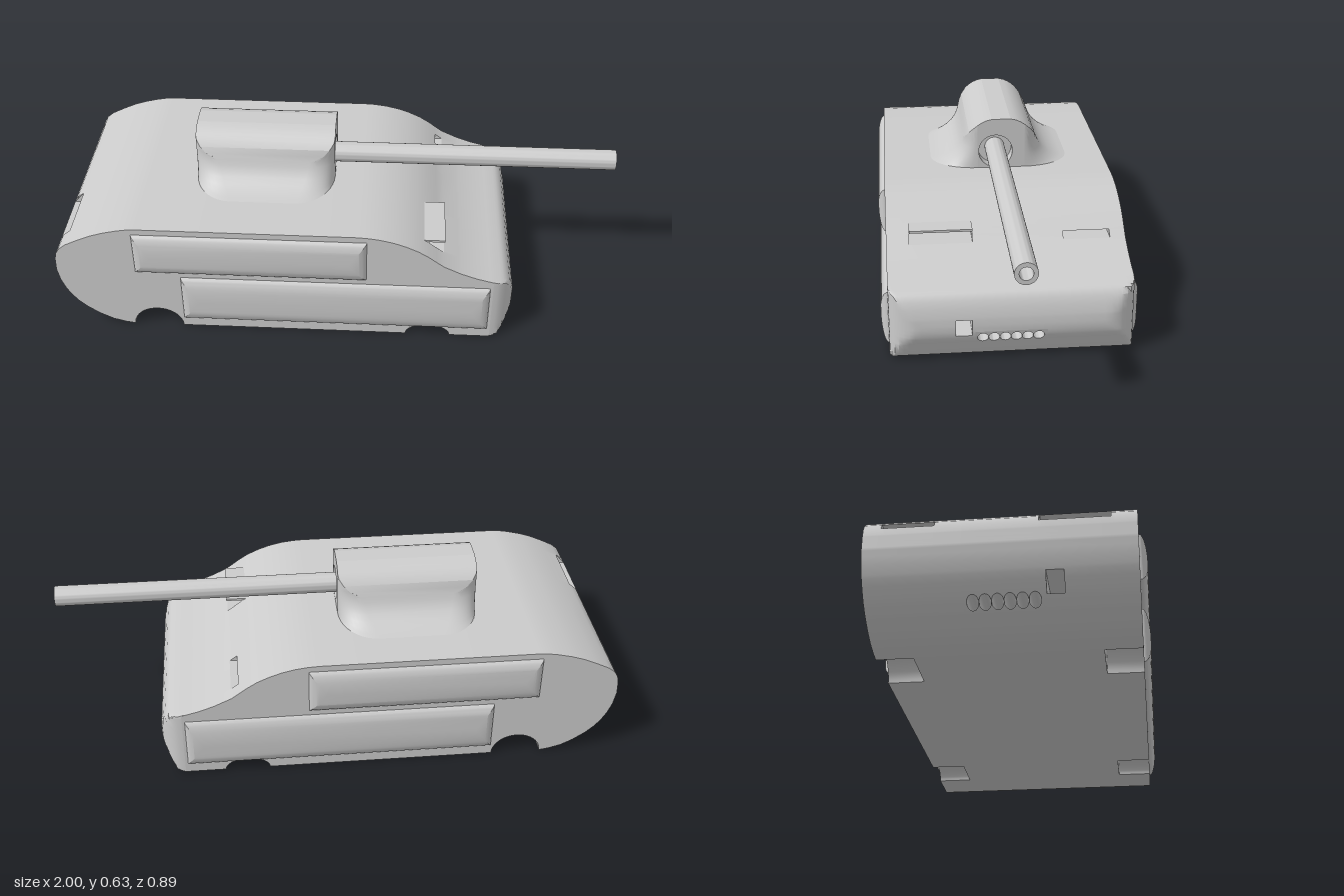
import * as THREE from 'three';
import { toCreasedNormals } from 'three/addons/utils/BufferGeometryUtils.js';

const material = new THREE.MeshStandardMaterial({ color: 0xcccccc, side: THREE.DoubleSide });
const W = 0.42, TOP = 0.445;

// Hull end outlines as [y, x]: nose with front slope, and rounded tail
const FRONT = [[0, .56], [.01, .592], [.04, .608], [.065, .619], [.09, .632], [.115, .639], [.14, .64], [.17, .637],
  [.2, .629], [.225, .62], [.245, .606], [.255, .585], [.262, .55], [.275, .5], [.295, .445], [.325, .382], [.345, .355],
  [.365, .329], [.39, .29], [.41, .247], [.425, .205], [.437, .155], [.443, .11], [TOP, .07]];
const REAR = [[0, -.745], [.005, -.775], [.018, -.82], [.04, -.862], [.07, -.905], [.1, -.937], [.13, -.959], [.16, -.976],
  [.2, -.991], [.25, -1], [.3, -.998], [.325, -.992], [.345, -.98], [.365, -.955], [.39, -.905], [.41, -.86],
  [.425, -.815], [.437, -.765], [.443, -.73], [TOP, -.7]];

function lookup(table, y) {
  const i = Math.max(1, table.findIndex(p => p[0] >= y - 1e-6));
  const [a, b] = [table[i - 1], table[i]];
  return a[1] + (b[1] - a[1]) * (y - a[0]) / (b[0] - a[0]);
}
// The nose also rounds off towards both sides
function noseLimit(z) {
  const t = Math.min(1, Math.max(0, (Math.abs(z) - .31) / (W - .31)));
  return .64 - .08 * (1 - Math.sqrt(1 - t * t));
}
const frontX = (y, z) => Math.min(lookup(FRONT, y), noseLimit(z));
const rearX = y => lookup(REAR, y);

function add(parent, name, geometry) {
  const mesh = new THREE.Mesh(geometry, material);
  mesh.name = name;
  parent.add(mesh);
  return mesh;
}
const quad = (out, a, b, c, d) => out.push(...a, ...b, ...c, ...a, ...c, ...d);
function skin(positions, crease = 0.6) {
  const g = new THREE.BufferGeometry();
  g.setAttribute('position', new THREE.Float32BufferAttribute(positions, 3));
  g.computeVertexNormals();
  return toCreasedNormals(g, crease);
}
const stations = list => [...new Set(list.map(v => +v.toFixed(4)))].sort((a, b) => a - b);
const vec = pts => pts.map(p => new THREE.Vector2(p[0], p[1]));

// Openings that run through the hull, as [z0, z1, y0, y1]
const SLOTS = [[.12, .34, .325, .365], [-.365, -.2, .325, .345], [.14, .195, .1, .16]];
const VENT_PANEL = [-.115, .13, .065, .115];
const VENTS = [0, 1, 2, 3, 4, 5].map(i => {
  const loop = [];
  for (let k = 0; k < 24; k++) {
    const a = k / 24 * Math.PI * 2;
    loop.push([.104 - .038 * i + .0185 * Math.cos(a), .089 + .0185 * Math.sin(a)]);
  }
  return loop;
});
const WELLS = [[-.65, .09, .078], [.335, .08, .045]]; // centre x, half width, height
const WELL_Z = .3;

function buildHull() {
  const hull = new THREE.Group();
  hull.name = 'hull';
  const cuts = [...SLOTS, VENT_PANEL];
  const ys = stations([...FRONT, ...REAR].map(p => p[0]).concat(cuts.flatMap(c => [c[2], c[3]])));
  const round = [-1, 1].flatMap(s => [0, 1, 2, 3, 4, 5, 6, 7, 8].map(k => s * (.31 + .11 * Math.sin(k / 8 * Math.PI / 2))));
  const zs = stations(round.concat(cuts.flatMap(c => [c[0], c[1]])));

  // Outer skin: nose, roof and tail
  const out = [];
  for (let j = 0; j + 1 < zs.length; j++) {
    const [z0, z1] = [zs[j], zs[j + 1]], zc = (z0 + z1) / 2;
    for (let i = 0; i + 1 < ys.length; i++) {
      const [y0, y1] = [ys[i], ys[i + 1]], yc = (y0 + y1) / 2;
      if (cuts.some(c => zc > c[0] && zc < c[1] && yc > c[2] && yc < c[3])) continue;
      const f = (y, z) => [frontX(y, z), y, z], r = (y, z) => [rearX(y), y, z];
      quad(out, f(y0, z0), f(y1, z0), f(y1, z1), f(y0, z1));
      quad(out, r(y0, z1), r(y1, z1), r(y1, z0), r(y0, z0));
    }
    quad(out, [-.7, TOP, z0], [-.7, TOP, z1], [.07, TOP, z1], [.07, TOP, z0]);
  }
  add(hull, 'hullSkin', skin(out));

  // Vent panels at both ends with a row of round holes
  for (const s of [1, -1]) {
    const [z0, z1, y0, y1] = VENT_PANEL;
    const mid = ys.filter(y => y > y0 && y < y1);
    const edge = [[z0, y0], [z1, y0], ...mid.map(y => [z1, y]), [z1, y1], [z0, y1], ...[...mid].reverse().map(y => [z0, y])];
    const flip = pts => vec(pts.map(p => [-s * p[0], p[1]]));
    const shape = new THREE.Shape(flip(edge));
    shape.holes = VENTS.map(v => new THREE.Path(flip(v)));
    const g = new THREE.ShapeGeometry(shape), p = g.attributes.position;
    for (let i = 0; i < p.count; i++) {
      const u = p.getX(i), y = p.getY(i);
      p.setXYZ(i, s > 0 ? frontX(y, 0) : rearX(y), y, -s * u);
    }
    g.computeVertexNormals();
    add(hull, s > 0 ? 'frontVentPanel' : 'rearVentPanel', g);
  }

  // Inner walls of the openings
  const walls = [];
  const loops = SLOTS.map(([a, b, c, d]) => [[a, c], [b, c], [b, d], [a, d]]).concat(VENTS);
  for (const loop of loops) loop.forEach(([z0, y0], i) => {
    const [z1, y1] = loop[(i + 1) % loop.length];
    quad(walls, [rearX(y0), y0, z0], [frontX(y0, z0), y0, z0], [frontX(y1, z1), y1, z1], [rearX(y1), y1, z1]);
  });
  add(hull, 'openingWalls', skin(walls));

  add(hull, 'floor', new THREE.PlaneGeometry(1.305, 2 * WELL_Z).rotateX(Math.PI / 2).translate(-.0925, 0, 0));
  add(hull, 'visorPlate', new THREE.BoxGeometry(.075, .008, .22).translate(.3475, .374, .23));
  for (const s of [1, -1]) hull.add(buildSide(s));
  return hull;
}

// Side wall, wheel wells and bulged panels, mirrored for the other side
function buildSide(s) {
  const side = new THREE.Group();
  side.name = s > 0 ? 'nearSide' : 'farSide';
  side.scale.z = s;
  const arch = ([c, a, h]) => Array.from({ length: 21 }, (_, k) => {
    const t = Math.PI * (1 - k / 20);
    return [c + a * Math.cos(t), h * Math.sin(t)];
  });
  const outline = [[-.745, 0], ...WELLS.flatMap(arch),
    ...FRONT.map(p => [frontX(p[0], W), p[0]]), ...[...REAR].reverse().slice(0, -1).map(p => [p[1], p[0]])];
  const clean = outline.filter((p, i) => !i || Math.hypot(p[0] - outline[i - 1][0], p[1] - outline[i - 1][1]) > 1e-4);
  add(side, 'sideWall', new THREE.ShapeGeometry(new THREE.Shape(vec(clean))).translate(0, 0, W));

  for (const well of WELLS) {
    const pts = arch(well), out = [];
    for (let i = 0; i < 20; i++) {
      const [a, b] = [pts[i], pts[i + 1]];
      quad(out, [...a, WELL_Z], [...a, W], [...b, W], [...b, WELL_Z]);
    }
    add(side, 'wheelWellArch', skin(out));
    add(side, 'wheelWellBack', new THREE.ShapeGeometry(new THREE.Shape(vec([...pts].reverse()))).translate(0, 0, WELL_Z));
  }
  for (const [a, b] of [[-.745, -.74], [-.56, .255], [.415, .56]])
    add(side, 'floorStrip', new THREE.PlaneGeometry(b - a, W - WELL_Z).rotateX(Math.PI / 2).translate((a + b) / 2, 0, (W + WELL_Z) / 2));

  add(side, 'upperPanel', bulge(-.715, .11, .255, .422, .026));
  add(side, 'lowerPanel', bulge(-.555, .55, .04, .232, .026));
  return side;
}

// Hipped panel with a rounded section, from nested rectangles
function bulge(x0, x1, y0, y1, height) {
  const out = [], n = 12, half = (y1 - y0) / 2;
  const ring = k => {
    const t = 1 - Math.cos(k / n * Math.PI / 2), ix = .065 * t, iy = half * t;
    const z = W + height * Math.sin(k / n * Math.PI / 2);
    return [[x0 + ix, y0 + iy, z], [x1 - ix, y0 + iy, z], [x1 - ix, y1 - iy, z], [x0 + ix, y1 - iy, z]];
  };
  for (let k = 0; k < n; k++) {
    const [a, b] = [ring(k), ring(k + 1)];
    for (let i = 0; i < 4; i++) quad(out, a[i], a[(i + 1) % 4], b[(i + 1) % 4], b[i]);
  }
  return skin(out, 0.35);
}

function buildTurret() {
  const turret = new THREE.Group();
  turret.name = 'turret';
  turret.position.set(-.2725, 0, -.018);
  // Half width over height: flared foot, waist, rounded roof
  const levels = [[.443, .27], [.449, .24], [.457, .217], [.47, .192], [.487, .17], [.505, .155], [.522, .146], [.54, .139],
    [.56, .131], [.58, .119], [.6, .102], [.612, .088], [.622, .073], [.63, .056], [.635, .035]];
  const L = .2525, FLAT = .088, N = 10;
  const ring = ([y, w]) => {
    const m = Math.min(w, FLAT), reach = Math.max(w, .139) - FLAT;
    const dx = .09 + .05 * Math.max(0, (w - .139) / .131);
    const q = [];
    for (let k = 0; k <= N; k++) {
      const z = m + (w - m) * Math.sin(k / N * Math.PI / 2);
      const t = Math.min(1, Math.max(0, (z - FLAT) / reach));
      q.push([L - dx * (1 - Math.sqrt(1 - t * t)), z]);
    }
    const back = [...q].reverse(), at = (pts, sx, sz) => pts.map(p => [sx * p[0], y, sz * p[1]]);
    return [...at(q, 1, 1), ...at(back, -1, 1), ...at(q, -1, -1), ...at(back, 1, -1)];
  };
  const out = [];
  for (let i = 0; i + 1 < levels.length; i++) {
    const [a, b] = [ring(levels[i]), ring(levels[i + 1])];
    for (let k = 0; k + 1 < a.length; k++) quad(out, a[k], b[k], b[k + 1], a[k + 1]);
  }
  add(turret, 'turretShell', skin(out));
  add(turret, 'turretRoof', new THREE.PlaneGeometry(2 * L, .07).rotateX(-Math.PI / 2).translate(0, .635, 0));

  // Front face with the round gun recess
  const edge = levels.map(([y, w]) => [Math.min(w, FLAT), y]);
  const face = new THREE.Shape(vec([...edge, ...[...edge].reverse().map(p => [-p[0], p[1]])]));
  face.holes.push(new THREE.Path().absarc(-.021, .51, .063, 0, Math.PI * 2, true));
  add(turret, 'turretFront', new THREE.ShapeGeometry(face, 24).rotateY(Math.PI / 2).translate(L, 0, 0));
  add(turret, 'recessWall', new THREE.CylinderGeometry(.063, .063, .05, 48, 1, true).rotateZ(-Math.PI / 2).translate(L - .025, .51, .021));
  add(turret, 'recessBack', new THREE.CircleGeometry(.063, 48).rotateY(Math.PI / 2).translate(L - .05, .51, .021));
  return turret;
}

function buildGun() {
  const gun = new THREE.Group();
  gun.name = 'gun';
  gun.position.set(-.08, .51, .003);
  const tube = new THREE.LatheGeometry(vec([[.037, 0], [.037, 1.08], [.022, 1.08], [.022, 0]]), 40);
  add(gun, 'barrel', toCreasedNormals(tube.rotateZ(-Math.PI / 2), 0.6));
  return gun;
}

export function createModel() {
  const model = new THREE.Group();
  model.name = 'tank';
  model.add(buildHull(), buildTurret(), buildGun());
  return model;
}
